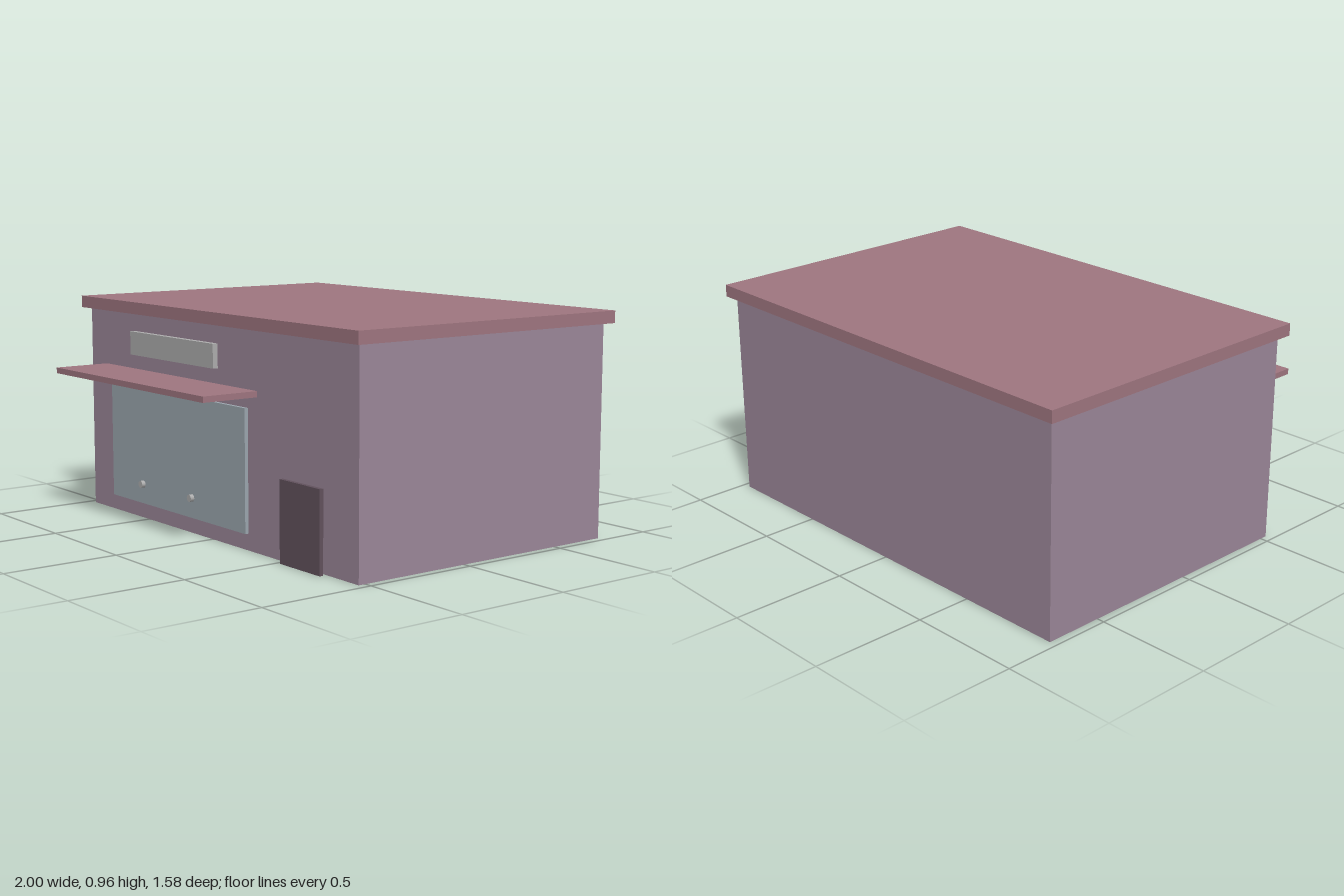
import * as THREE from 'three';

const paint = (color) => new THREE.MeshStandardMaterial({ color });

export function createModel() {
  const shop = new THREE.Group();
  shop.name = 'shop';

  const wallPaint = paint(0x9c8799);
  const roofPaint = paint(0x9f7680);
  const glassPaint = paint(0x9ca7af);
  const signPaint = paint(0xaeaeae);
  const doorPaint = paint(0x62525d);

  // Box given by its extents along each axis
  const block = (name, [x0, x1], [y0, y1], [z0, z1], material) => {
    const mesh = new THREE.Mesh(new THREE.BoxGeometry(x1 - x0, y1 - y0, z1 - z0), material);
    mesh.position.set((x0 + x1) / 2, (y0 + y1) / 2, (z0 + z1) / 2);
    mesh.name = name;
    shop.add(mesh);
  };

  // Building body and overhanging flat roof
  block('walls', [-0.967, 0.967], [0, 0.905], [-0.758, 0.532], wallPaint);
  block('roof', [-1, 1], [0.905, 0.957], [-0.79, 0.565], roofPaint);

  // Shopfront: shutter, awning, sign board and door
  block('shutter', [-0.774, 0.258], [0.07, 0.585], [0.525, 0.548], glassPaint);
  block('awning', [-0.839, 0.322], [0.635, 0.66], [0.525, 0.79], roofPaint);
  block('signBoard', [-0.582, 0.06], [0.726, 0.828], [0.541, 0.565], signPaint);
  block('door', [0.516, 0.772], [0, 0.338], [0.548, 0.565], doorPaint);

  // Two round handles on the shutter
  const handleGeometry = new THREE.CylinderGeometry(0.016, 0.016, 0.025, 12).rotateX(Math.PI / 2);
  for (const x of [-0.517, -0.13]) {
    const handle = new THREE.Mesh(handleGeometry, signPaint);
    handle.position.set(x, 0.157, 0.5525);
    handle.name = 'shutterHandle';
    shop.add(handle);
  }

  return shop;
}
